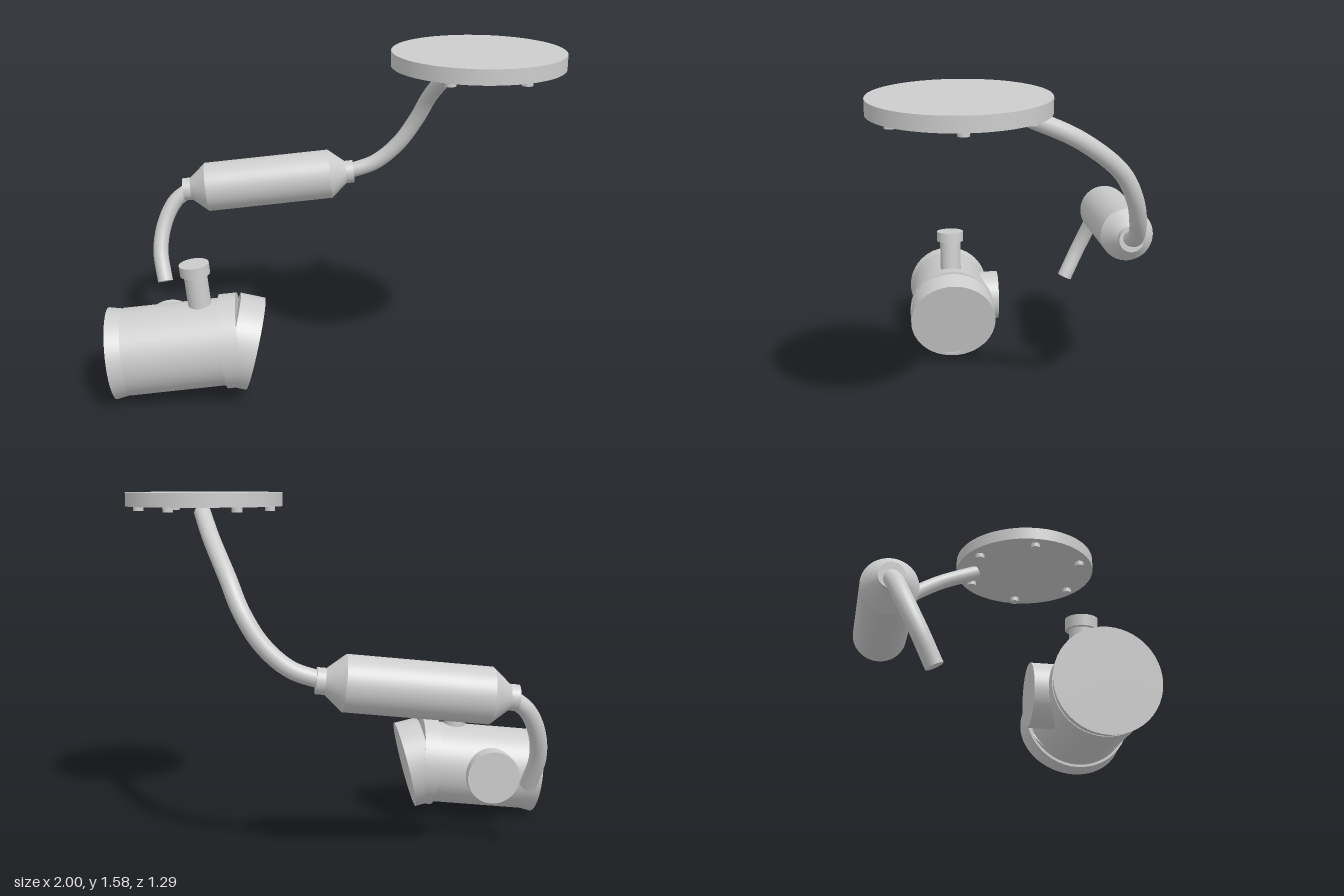
import * as THREE from 'three';

const metal = new THREE.MeshStandardMaterial({ color: 0xcccccc });
metal.name = 'light grey metal';

const UP = new THREE.Vector3(0, 1, 0);
const vec = (p) => new THREE.Vector3(...p);

function add(parent, geometry, name) {
  const mesh = new THREE.Mesh(geometry, metal);
  mesh.name = name;
  parent.add(mesh);
  return mesh;
}

// Closed round bar or cone from point a (radius ra) to point b (radius rb)
function bar(parent, name, a, b, ra, rb = ra) {
  const start = vec(a), end = vec(b);
  const dir = end.clone().sub(start);
  const mesh = add(parent, new THREE.CylinderGeometry(rb, ra, dir.length(), 48), name);
  mesh.position.copy(start).add(end).multiplyScalar(0.5);
  mesh.quaternion.setFromUnitVectors(UP, dir.normalize());
}

// Bent pipe through the points, with flat ends
function pipe(parent, name, points, radius) {
  const curve = new THREE.CatmullRomCurve3(points.map(vec));
  const group = new THREE.Group();
  group.name = name;
  add(group, new THREE.TubeGeometry(curve, 64, radius, 24), name + 'Wall');
  for (const t of [0, 1]) {
    const cap = add(group, new THREE.CircleGeometry(radius, 24), name + 'End');
    cap.position.copy(curve.getPoint(t));
    const out = curve.getTangent(t).multiplyScalar(t ? 1 : -1);
    cap.quaternion.setFromUnitVectors(new THREE.Vector3(0, 0, 1), out);
  }
  parent.add(group);
}

function subgroup(parent, name, position, tilt) {
  const group = new THREE.Group();
  group.name = name;
  group.position.set(...position);
  group.rotation.z = tilt;
  parent.add(group);
  return group;
}

export function createModel() {
  const model = new THREE.Group();
  model.name = 'exhaustAssembly';
  const tilt = 0.101;

  // Round plate with a ring of bolts underneath
  const plate = subgroup(model, 'plate', [0.63, 0, 0.275], 0);
  bar(plate, 'plateDisc', [0, 1.523, 0], [0, 1.588, 0], 0.369);
  for (let i = 0; i < 6; i++) {
    const a = (i * Math.PI) / 3;
    const x = 0.31 * Math.cos(a), z = 0.31 * Math.sin(a);
    bar(plate, 'bolt', [x, 1.5, z], [x, 1.53, z], 0.024);
  }

  // Pipes on both sides of the silencer
  pipe(model, 'upperPipe', [
    [0.63, 1.5, 0.01], [0.585, 1.39, -0.21], [0.515, 1.235, -0.395], [0.46, 1.1, -0.467],
    [0.375, 0.965, -0.502], [0.26, 0.865, -0.518], [0.12, 0.815, -0.5225],
  ], 0.038);
  pipe(model, 'lowerPipe', [
    [-0.67, 0.735, -0.5225], [-0.75, 0.672, -0.508], [-0.805, 0.565, -0.473],
    [-0.825, 0.44, -0.42], [-0.802, 0.3, -0.352],
  ], 0.038);

  // Silencer: cylinder with mirrored cones and end rings
  const silencer = subgroup(model, 'silencer', [-0.276, 0.7735, -0.5225], tilt);
  bar(silencer, 'silencerBody', [-0.3125, 0, 0], [0.3125, 0, 0], 0.123);
  for (const s of [-1, 1]) {
    bar(silencer, 'silencerCone', [s * 0.3125, 0, 0], [s * 0.395, 0, 0], 0.123, 0.054);
    bar(silencer, 'silencerRing', [s * 0.393, 0, 0], [s * 0.432, 0, 0], 0.057);
  }

  // Large canister, local x along its axis
  const canister = subgroup(model, 'canister', [-0.7, 0.24, 0.275], tilt);
  bar(canister, 'canisterLip', [-0.282, 0, 0], [-0.216, 0, 0], 0.209, 0.196);
  bar(canister, 'canisterBody', [-0.216, 0, 0], [0.225, 0, 0], 0.199);
  bar(canister, 'canisterCollar', [0.223, 0, 0], [0.301, 0, 0], 0.214);
  bar(canister, 'fillerNeck', [0.139, 0.15, 0], [0.139, 0.37, 0], 0.052);
  bar(canister, 'fillerCap', [0.139, 0.342, 0], [0.139, 0.391, 0], 0.067);

  // Angled outlet and round port on the rear side
  bar(model, 'canisterOutlet', [-0.445, 0.275, 0.275], [-0.335, 0.2485, 0.275], 0.2125);
  bar(model, 'rearPort', [-0.732, 0.235, 0.15], [-0.732, 0.235, 0.022], 0.126);

  return model;
}
